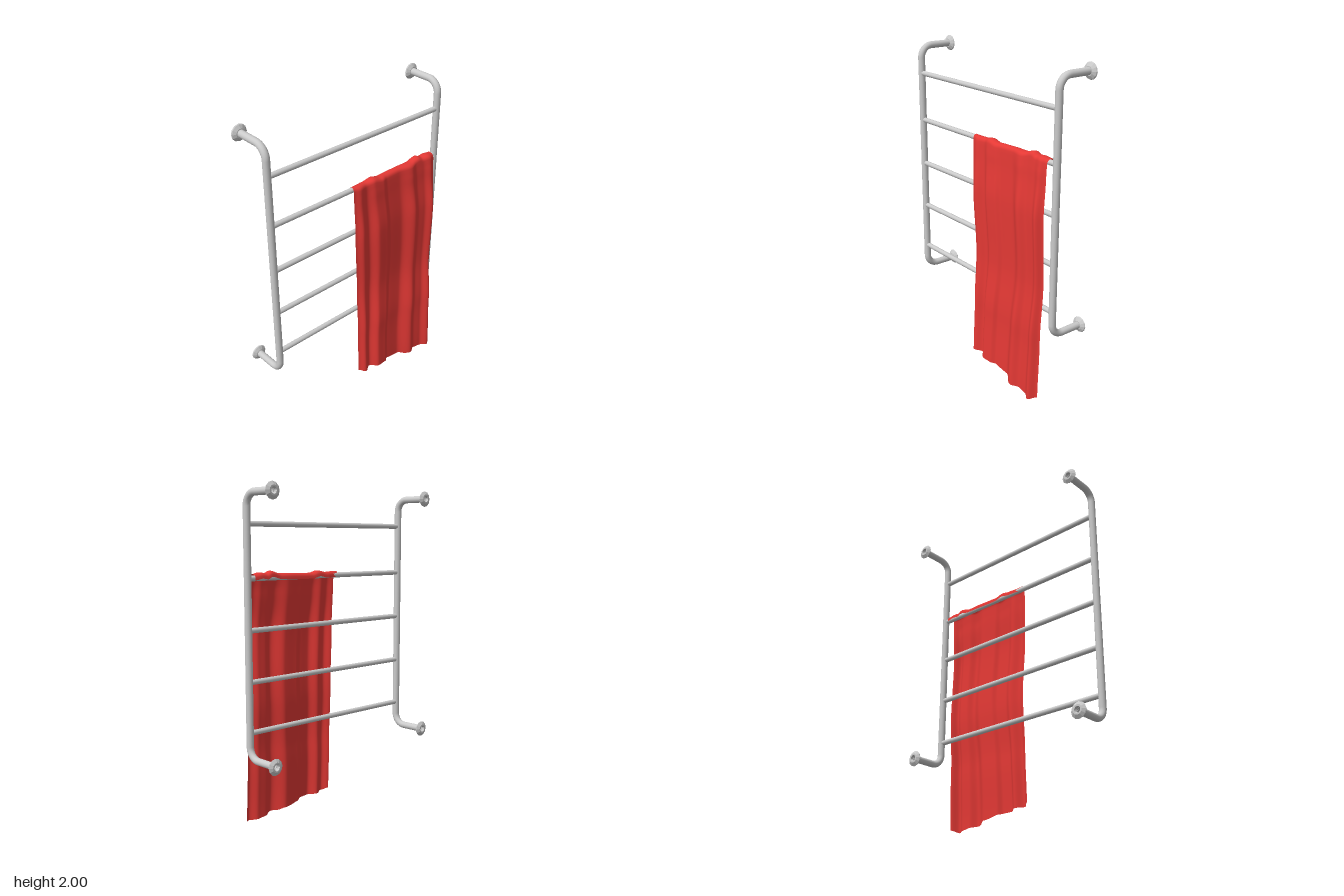
import * as THREE from 'three';

const POLE_X = 0.055, POLE_Z = 0.643, TOP = 1.955, BOTTOM = 0.425, WALL = -0.16, BEND = 0.075;

const metal = new THREE.MeshStandardMaterial({ color: 0xcccccc, side: THREE.DoubleSide });
const cloth = new THREE.MeshStandardMaterial({ color: 0xe53935, side: THREE.DoubleSide });

// Piecewise-smooth lookup through [position, value] pairs with ascending positions
function sample(keys, t) {
  if (t <= keys[0][0]) return keys[0][1];
  for (let i = 1; i < keys.length; i++) {
    const [a, va] = keys[i - 1], [b, vb] = keys[i];
    if (t <= b) return THREE.MathUtils.lerp(va, vb, THREE.MathUtils.smoothstep(t, a, b));
  }
  return keys[keys.length - 1][1];
}

function add(parent, name, geometry, material) {
  const mesh = new THREE.Mesh(geometry, material);
  mesh.name = name;
  parent.add(mesh);
  return mesh;
}

// Upright pipe with both ends bent back to the wall
function polePath() {
  const p = (x, y) => new THREE.Vector3(x, y, 0);
  const path = new THREE.CurvePath();
  const k = BEND * 0.552;
  path.add(new THREE.LineCurve3(p(WALL, TOP), p(POLE_X - BEND, TOP)));
  path.add(new THREE.CubicBezierCurve3(p(POLE_X - BEND, TOP), p(POLE_X - BEND + k, TOP),
    p(POLE_X, TOP - BEND + k), p(POLE_X, TOP - BEND)));
  path.add(new THREE.LineCurve3(p(POLE_X, TOP - BEND), p(POLE_X, BOTTOM + BEND)));
  path.add(new THREE.CubicBezierCurve3(p(POLE_X, BOTTOM + BEND), p(POLE_X, BOTTOM + BEND - k),
    p(POLE_X - BEND + k, BOTTOM), p(POLE_X - BEND, BOTTOM)));
  path.add(new THREE.LineCurve3(p(POLE_X - BEND, BOTTOM), p(WALL, BOTTOM)));
  return path;
}

// Towel: a grid sheet draped over one rail, with folds that deepen downwards
function towelGeometry() {
  const geo = new THREE.PlaneGeometry(1, 1, 90, 70);
  const pos = geo.attributes.position;
  // fold depth across the width (0 = left edge, 1 = right edge)
  const folds = [[0, 0.05], [0.07, 0.5], [0.16, 0.05], [0.25, 0.65], [0.35, 0.6], [0.41, 0.25],
    [0.56, 0.2], [0.7, 0.95], [0.78, 0.5], [0.86, 0.55], [0.94, 1], [1, 0.35]];
  // innermost x and fold amplitude by height
  const inner = [[0, 0.11], [0.4, 0.098], [0.75, 0.084], [1.15, 0.09], [1.46, 0.083]];
  const depth = [[0, 0.066], [0.4, 0.064], [0.75, 0.05], [1.15, 0.055], [1.4, 0.034], [1.5, 0.022]];
  const leftEdge = [[0.07, 0.04], [0.75, 0.037], [1.15, 0.055], [1.5, 0.062]];
  const rightEdge = [[0, -0.615], [0.6, -0.611], [1.5, -0.603]];
  const hem = [[0, 0.085], [0.06, 0.07], [0.3, 0.06], [0.55, 0.035], [0.62, 0.022], [0.93, 0.002], [1, 0.018]];
  const ridge = [[0, 1.5], [0.15, 1.497], [0.24, 1.508], [0.33, 1.495], [0.7, 1.5], [0.81, 1.516],
    [0.86, 1.503], [0.92, 1.508], [1, 1.5]];
  const wrap = 0.15; // share of the rows that goes round the rail

  for (let i = 0; i < pos.count; i++) {
    const u = pos.getX(i) + 0.5, v = 0.5 - pos.getY(i);
    const top = sample(ridge, u);
    let x, y;
    const front = (h) => {
      const drift = 0.025 * Math.sin(h * 4 + 1) * Math.sin(Math.PI * u);
      return sample(inner, h) + sample(depth, h) * sample(folds, u + drift);
    };
    if (v < wrap) {
      // short flap behind the rail, then over the top
      const a = Math.PI * (1 - v / wrap);
      const back = 0.032 + 0.012 * Math.max(0, 1 - u * 8);
      const outer = front(top - 0.035);
      x = (back + outer) / 2 + Math.cos(a) * (outer - back) / 2;
      y = top - 0.035 + 0.035 * Math.pow(Math.sin(a), 0.7);
    } else {
      y = THREE.MathUtils.lerp(top - 0.035, sample(hem, u), (v - wrap) / (1 - wrap));
      x = front(y);
    }
    pos.setXYZ(i, x, y, THREE.MathUtils.lerp(sample(leftEdge, y), sample(rightEdge, y), u));
  }
  geo.computeVertexNormals();
  return geo;
}

export function createModel() {
  const model = new THREE.Group();
  model.name = 'towelRack';

  // Poles with wall flanges
  const poleGeo = new THREE.TubeGeometry(polePath(), 140, 0.022, 14, false);
  const flangeProfile = [[0.014, -0.012], [0.02, -0.025], [0.03, -0.025], [0.05, -0.012], [0.047, -0.006], [0.027, 0.006], [0.02, 0.006]]
    .map(([r, y]) => new THREE.Vector2(r, y));
  const flangeGeo = new THREE.LatheGeometry(flangeProfile, 12).toNonIndexed();
  flangeGeo.computeVertexNormals();
  flangeGeo.rotateZ(-Math.PI / 2);
  for (const side of [1, -1]) {
    const pole = new THREE.Group();
    pole.name = side > 0 ? 'leftPole' : 'rightPole';
    pole.position.z = side * POLE_Z;
    add(pole, 'bentPipe', poleGeo, metal);
    for (const y of [TOP, BOTTOM]) add(pole, 'wallFlange', flangeGeo, metal).position.set(WALL, y, 0);
    model.add(pole);
  }

  // Cross rails
  const railGeo = new THREE.CylinderGeometry(0.016, 0.016, POLE_Z * 2, 12).rotateX(Math.PI / 2);
  for (const y of [0.58, 0.878, 1.178, 1.475, 1.782]) {
    add(model, 'rail', railGeo, metal).position.set(POLE_X, y, 0);
  }

  add(model, 'towel', towelGeometry(), cloth);
  return model;
}
